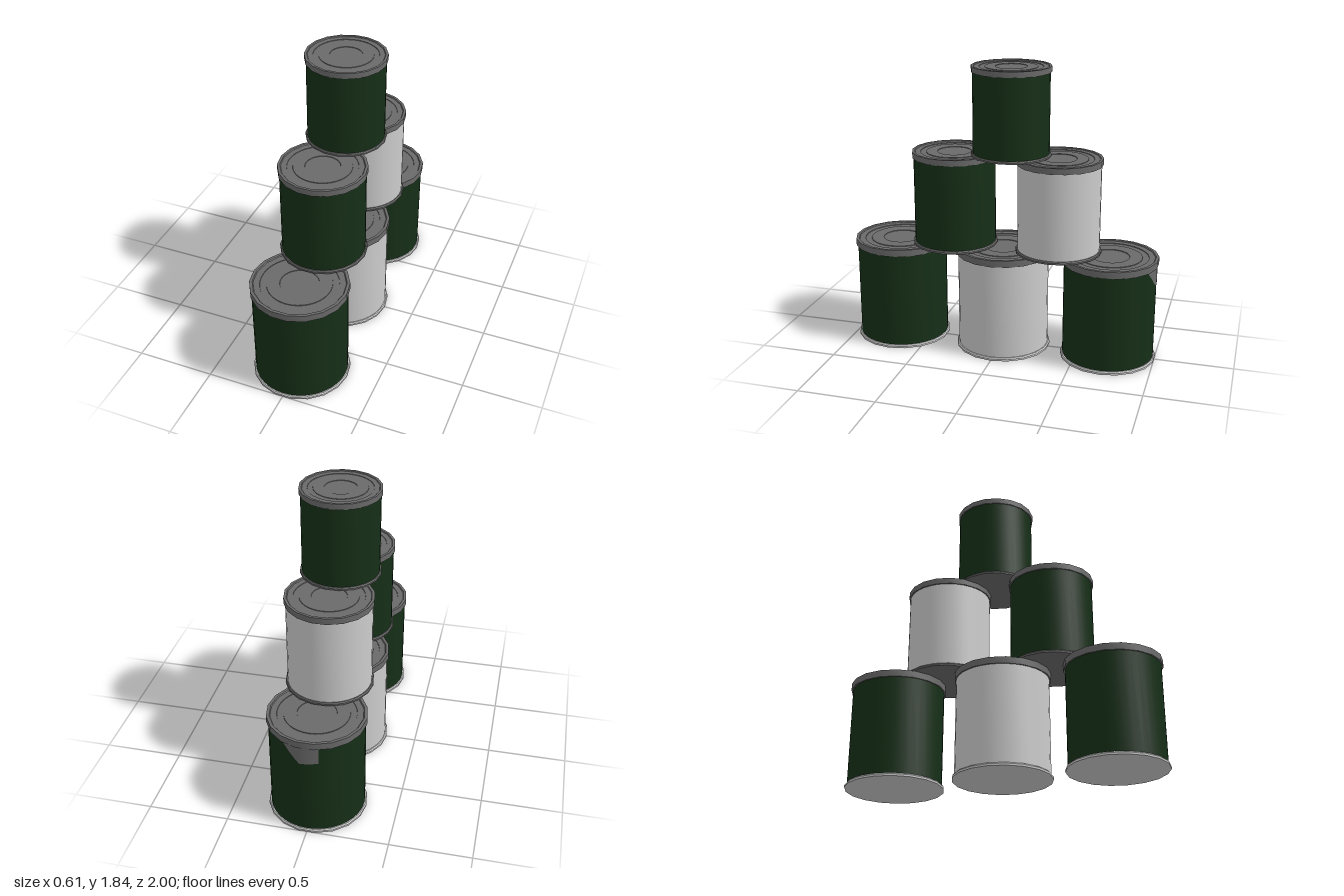
import * as THREE from 'three';
import { toCreasedNormals } from 'three/addons/utils/BufferGeometryUtils.js';

const paint = (color) => new THREE.MeshStandardMaterial({ color, side: THREE.DoubleSide });
const grey = paint(0xcccccc);
const green = paint(0x162f17);
const metal = paint(0x6a6a6a);

// Full-size can dimensions
const BODY_R = 0.292, HEIGHT = 0.68, LID_Y = 0.637;

function lathe(name, points, sides, material) {
  const profile = points.map(([r, y]) => new THREE.Vector2(r, y));
  // Vertices on the x axis, flats facing front and back
  const geometry = new THREE.LatheGeometry(profile, sides, Math.PI / 2);
  const mesh = new THREE.Mesh(toCreasedNormals(geometry, 0.5), material);
  mesh.name = name;
  return mesh;
}

function createCan(name, bodyMaterial, baseMaterial) {
  const can = new THREE.Group();
  can.name = name;

  // Flared foot and closed underside
  can.add(lathe('base', [[0, 0], [0.307, 0], [0.307, 0.012], [0.301, 0.02], [BODY_R - 0.01, 0.02]], 18, baseMaterial));

  // Round wall
  can.add(lathe('body', [[BODY_R, 0.015], [BODY_R, 0.645]], 36, bodyMaterial));

  // Raised rim around the lid
  can.add(lathe('rim', [[BODY_R - 0.01, LID_Y], [0.303, LID_Y], [0.303, HEIGHT],
    [0.285, HEIGHT], [0.28, HEIGHT - 0.006]], 18, metal));

  // Lid plate with pressed concentric steps
  const y = HEIGHT - 0.006;
  can.add(lathe('lid', [[0.288, y], [0.24, y], [0.239, y - 0.004], [0.2, y - 0.004],
    [0.199, y], [0.12, y], [0.119, y - 0.004], [0, y - 0.004]], 36, metal));
  return can;
}

// Torn corner of the label: a curved patch just proud of the wall
function createTear() {
  const start = 24, end = -15, steps = 8, positions = [], index = [];
  for (let i = 0; i <= steps; i++) {
    const t = i / steps;
    const angle = THREE.MathUtils.degToRad(30 + (end - 30) * t);
    const r = BODY_R + 0.002;
    const x = Math.sin(angle) * r, z = -Math.cos(angle) * r;
    const depth = t < 0.5 ? 0.125 * t / 0.5 : 0.125 - 0.03 * (t - 0.5);
    positions.push(x, 0.64, z, x, 0.64 - depth, z);
    if (i < steps) {
      const a = i * 2;
      index.push(a, a + 2, a + 1, a + 1, a + 2, a + 3);
    }
  }
  const geometry = new THREE.BufferGeometry();
  geometry.setAttribute('position', new THREE.Float32BufferAttribute(positions, 3));
  geometry.setIndex(index);
  geometry.computeVertexNormals();
  const mesh = new THREE.Mesh(geometry, metal);
  mesh.name = 'labelTear';
  return mesh;
}

export function createModel() {
  const model = new THREE.Group();
  model.name = 'canPyramid';

  // Each row: scale, height of its foot, and its cans as [name, z, wall]
  const rows = [
    { scale: 1, y: 0, base: grey, cans: [
      ['bottomFrontCan', 0.698, green], ['bottomMiddleCan', 0, grey], ['bottomBackCan', -0.698, green]] },
    { scale: 0.895, y: 0.68, base: metal, cans: [
      ['middleFrontCan', 0.323, green], ['middleBackCan', -0.362, grey]] },
    { scale: 0.823, y: 1.285, base: metal, cans: [['topCan', -0.05, green]] },
  ];

  for (const { scale, y, base, cans } of rows) {
    for (const [name, z, wall] of cans) {
      const can = createCan(name, wall, base);
      can.scale.setScalar(scale);
      can.position.set(0, y, z);
      if (name === 'bottomBackCan') can.add(createTear());
      model.add(can);
    }
  }
  return model;
}
